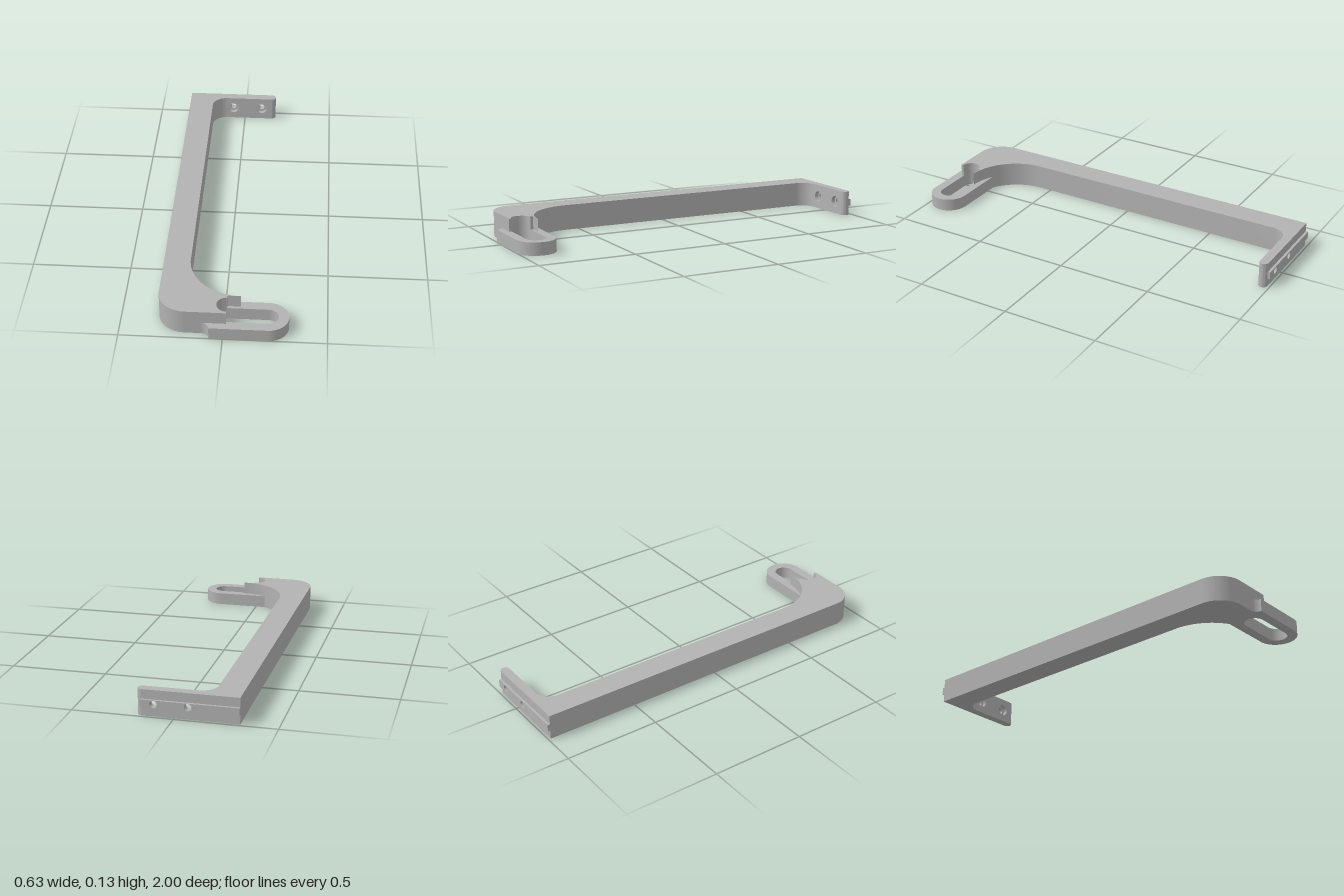
import * as THREE from 'three';
import { toCreasedNormals } from 'three/addons/utils/BufferGeometryUtils.js';

const PI = Math.PI;
const HEIGHT = 0.132;
const TAB_HEIGHT = 0.066;

export function createModel() {
  const group = new THREE.Group();
  const grey = new THREE.MeshStandardMaterial({ color: 0xb2b2b2 });
  grey.name = 'grey';

  function add(name, geometry) {
    const mesh = new THREE.Mesh(toCreasedNormals(geometry, 0.5), grey);
    mesh.name = name;
    group.add(mesh);
  }

  // Plan outline drawn in (x, z), standing on y = 0
  function addPlan(name, shape, height) {
    const g = new THREE.ExtrudeGeometry(shape, { depth: height, bevelEnabled: false, curveSegments: 28 });
    g.rotateX(PI / 2);
    g.translate(0, height, 0);
    add(name, g);
  }

  // Upright slab with the two screw holes, from z0 to z1
  function addDrilled(name, x0, x1, y0, y1, z0, z1, radius) {
    const s = new THREE.Shape();
    s.moveTo(x0, y0);
    s.lineTo(x1, y0);
    s.lineTo(x1, y1);
    s.lineTo(x0, y1);
    s.closePath();
    for (const x of [-0.07, 0.097]) {
      const hole = new THREE.Path();
      hole.absarc(x, HEIGHT / 2, radius, 0, PI * 2, true);
      s.holes.push(hole);
    }
    const g = new THREE.ExtrudeGeometry(s, { depth: z1 - z0, bevelEnabled: false, curveSegments: 20 });
    g.translate(0, 0, z0);
    add(name, g);
  }

  // Long bar with rounded front corner, slot relief and inner fillets
  const bar = new THREE.Shape();
  bar.moveTo(-0.317, -0.987);
  bar.lineTo(-0.317, 0.83);
  bar.absarc(-0.184, 0.83, 0.133, PI, PI / 2, true);
  bar.lineTo(0.016, 0.963);
  bar.lineTo(0.016, 0.95);
  bar.absarc(0.016, 0.9, 0.05, PI / 2, PI * 1.5, false);
  bar.lineTo(0.016, 0.835);
  bar.lineTo(0.08, 0.835);
  bar.absarc(0.08, 0.57, 0.265, PI / 2, PI, false);
  bar.lineTo(-0.185, -0.86);
  bar.absarc(-0.105, -0.86, 0.08, PI, PI * 1.5, false);
  bar.lineTo(-0.105, -0.987);
  bar.closePath();
  addPlan('bar', bar, HEIGHT);

  // Low slotted tab wrapping the bar's front end
  const tab = new THREE.Shape();
  tab.moveTo(-0.103, 0.963);
  tab.absarc(-0.103, 1.0, 0.037, -PI / 2, 0, false);
  tab.lineTo(0.215, 1.0);
  tab.absarc(0.215, 0.9, 0.1, PI / 2, -PI / 2, true);
  tab.absarc(0.08, 0.57, 0.265, Math.atan2(0.23, -0.1316), PI / 2, true);
  tab.lineTo(0.016, 0.835);
  tab.lineTo(0.016, 0.85);
  tab.lineTo(0.215, 0.85);
  tab.absarc(0.215, 0.9, 0.05, -PI / 2, PI / 2, false);
  tab.lineTo(0.016, 0.95);
  tab.lineTo(0.016, 0.963);
  tab.closePath();
  addPlan('slottedTab', tab, TAB_HEIGHT);

  // Rear plate: wide counterbores in front, narrow holes behind
  addDrilled('rearPlateFront', -0.105, 0.157, 0, HEIGHT, -0.962, -0.94, 0.03);
  addDrilled('rearPlateBack', -0.105, 0.157, 0, HEIGHT, -0.987, -0.962, 0.018);

  // Rounded end of the rear plate
  const end = new THREE.Shape();
  end.moveTo(0.157, -0.987);
  end.absarc(0.157, -0.9635, 0.0235, -PI / 2, PI / 2, false);
  end.closePath();
  addPlan('rearPlateEnd', end, HEIGHT);

  // Locating ridge along the back
  addDrilled('rearRidge', -0.317, 0.163, 0.047, 0.085, -1.0, -0.987, 0.018);

  return group;
}
